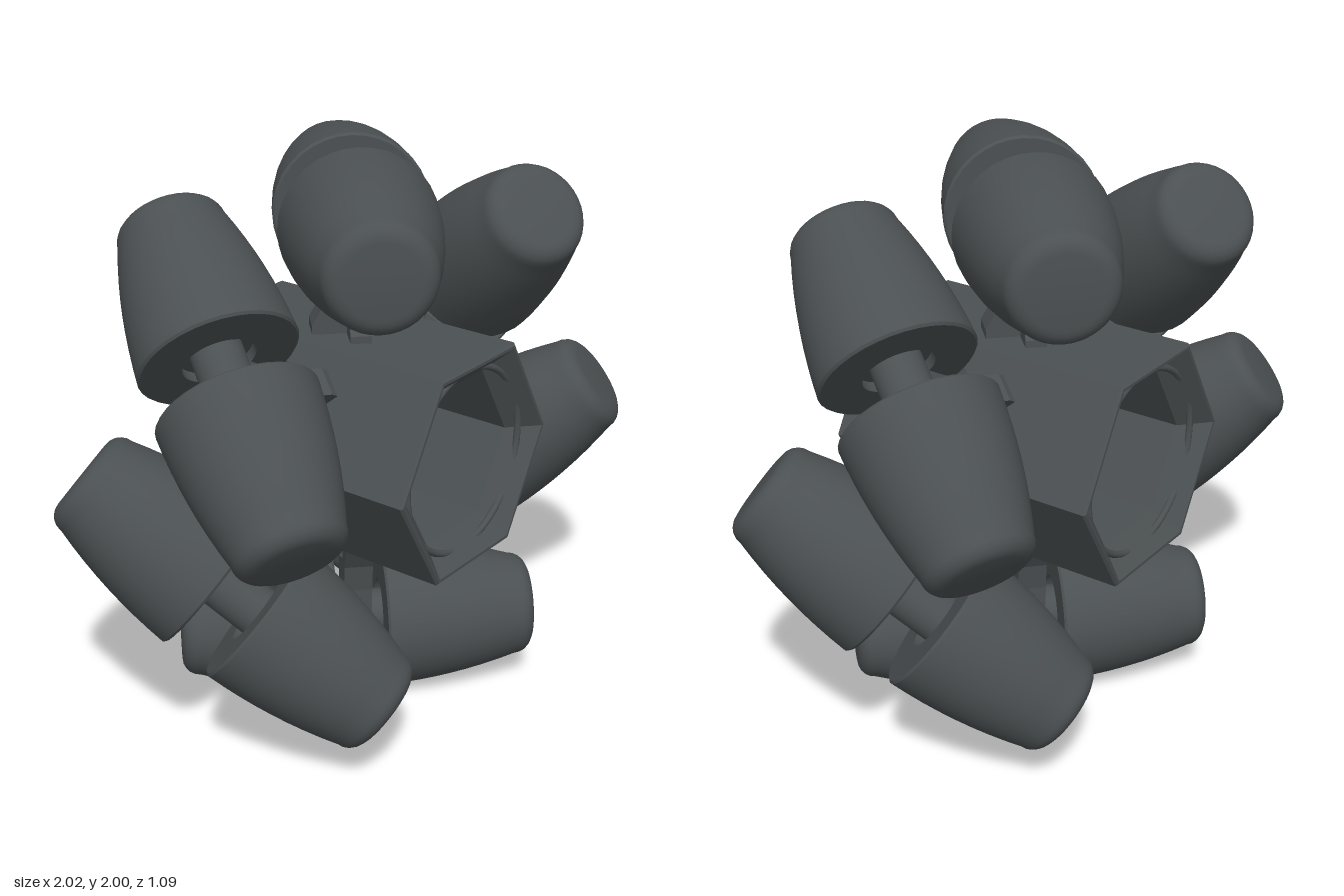
import * as THREE from 'three';
import { toCreasedNormals } from 'three/addons/utils/BufferGeometryUtils.js';

const SPOKES = 6;
const AXLE_RADIUS = 0.735; // distance of the roller axles from the wheel axis

const rubber = new THREE.MeshStandardMaterial({ color: 0x4b5052 });
rubber.name = 'dark grey';

function part(name, geometry) {
  const mesh = new THREE.Mesh(geometry, rubber);
  mesh.name = name;
  return mesh;
}

// Barrel half whose curve keeps the rim of the whole wheel round
function rollerGeometry() {
  const radiusAt = (s) => Math.sqrt(1 - (s * s) / 2) - AXLE_RADIUS;
  const points = [[0, 0.12], [0.12, 0.12], [0.12, 0.085], [radiusAt(0.085) - 0.008, 0.085]];
  for (let i = 0; i <= 8; i++) {
    const s = 0.093 + (0.565 - 0.093) * (i / 8);
    points.push([radiusAt(s), s]);
  }
  // rounded outer edge
  const edge = radiusAt(0.565);
  for (let i = 1; i <= 5; i++) {
    const a = (i / 5) * Math.PI / 2;
    points.push([edge - 0.06 + 0.06 * Math.cos(a), 0.565 + 0.06 * Math.sin(a)]);
  }
  points.push([0, 0.625]);
  const lathe = new THREE.LatheGeometry(points.map(([x, y]) => new THREE.Vector2(x, y)), 36);
  return toCreasedNormals(lathe, 0.6);
}

// Symmetric upright plate: half outline as [half width, height], centred in depth
function plateGeometry(half, depth) {
  const outline = [...half, ...half.slice().reverse().map(([x, y]) => [-x, y])];
  const shape = new THREE.Shape(outline.map(([x, y]) => new THREE.Vector2(x, y)));
  const geometry = new THREE.ExtrudeGeometry(shape, { depth, bevelEnabled: false });
  return geometry.translate(0, 0, -depth / 2);
}

// Hexagonal sleeve with funnel-shaped mouths, along z
function buildHub() {
  const hub = new THREE.Group();
  hub.name = 'hub';
  const toCorner = 1 / Math.cos(Math.PI / 6);
  const profile = [
    [0.352, -0.5], [0.36, -0.492], [0.36, 0.492], [0.352, 0.5], [0.342, 0.5],
    [0.26, 0.41], [0.26, -0.41], [0.342, -0.5], [0.352, -0.5],
  ].map(([apothem, y]) => new THREE.Vector2(apothem * toCorner, y));
  const sleeve = new THREE.LatheGeometry(profile, 6, Math.PI / 2).toNonIndexed();
  sleeve.computeVertexNormals();
  sleeve.rotateX(Math.PI / 2);
  hub.add(part('hexSleeve', sleeve));

  // seat rings showing in the corners of each mouth
  for (const side of [-1, 1]) {
    const ring = part('seatRing', new THREE.TorusGeometry(0.318, 0.012, 8, 48));
    ring.position.z = side * 0.45;
    hub.add(ring);
  }
  return hub;
}

export function createModel() {
  const wheel = new THREE.Group();
  wheel.name = 'rollerWheel';
  wheel.add(buildHub());

  const roller = rollerGeometry();
  const axle = new THREE.CylinderGeometry(0.085, 0.085, 0.26, 28).rotateZ(Math.PI / 2);
  const post = plateGeometry(
    [[0.15, 0.35], [0.15, 0.39], [0.09, 0.5], [0.075, 0.6], [0.075, 0.735]], 0.1,
  ).rotateY(Math.PI / 2);
  const gusset = plateGeometry([[0.15, 0.35], [0.15, 0.385], [0.05, 0.49]], 0.07);

  // Spokes: a post carrying two rollers on an axle turned 45 degrees to the wheel axis
  for (let i = 0; i < SPOKES; i++) {
    const spoke = new THREE.Group();
    spoke.name = 'spoke';
    spoke.rotation.z = (i / SPOKES) * Math.PI * 2;

    const carrier = new THREE.Group();
    carrier.name = 'rollerCarrier';
    carrier.rotation.y = Math.PI / 4;
    carrier.add(part('post', post), part('gusset', gusset));

    const pin = part('axle', axle);
    pin.position.y = AXLE_RADIUS;
    carrier.add(pin);

    for (const side of [-1, 1]) {
      const barrel = part('roller', roller);
      barrel.position.y = AXLE_RADIUS;
      barrel.rotation.z = -side * Math.PI / 2;
      carrier.add(barrel);
    }
    spoke.add(carrier);
    wheel.add(spoke);
  }

  wheel.position.y = 1;
  const model = new THREE.Group();
  model.name = 'model';
  model.add(wheel);
  return model;
}
